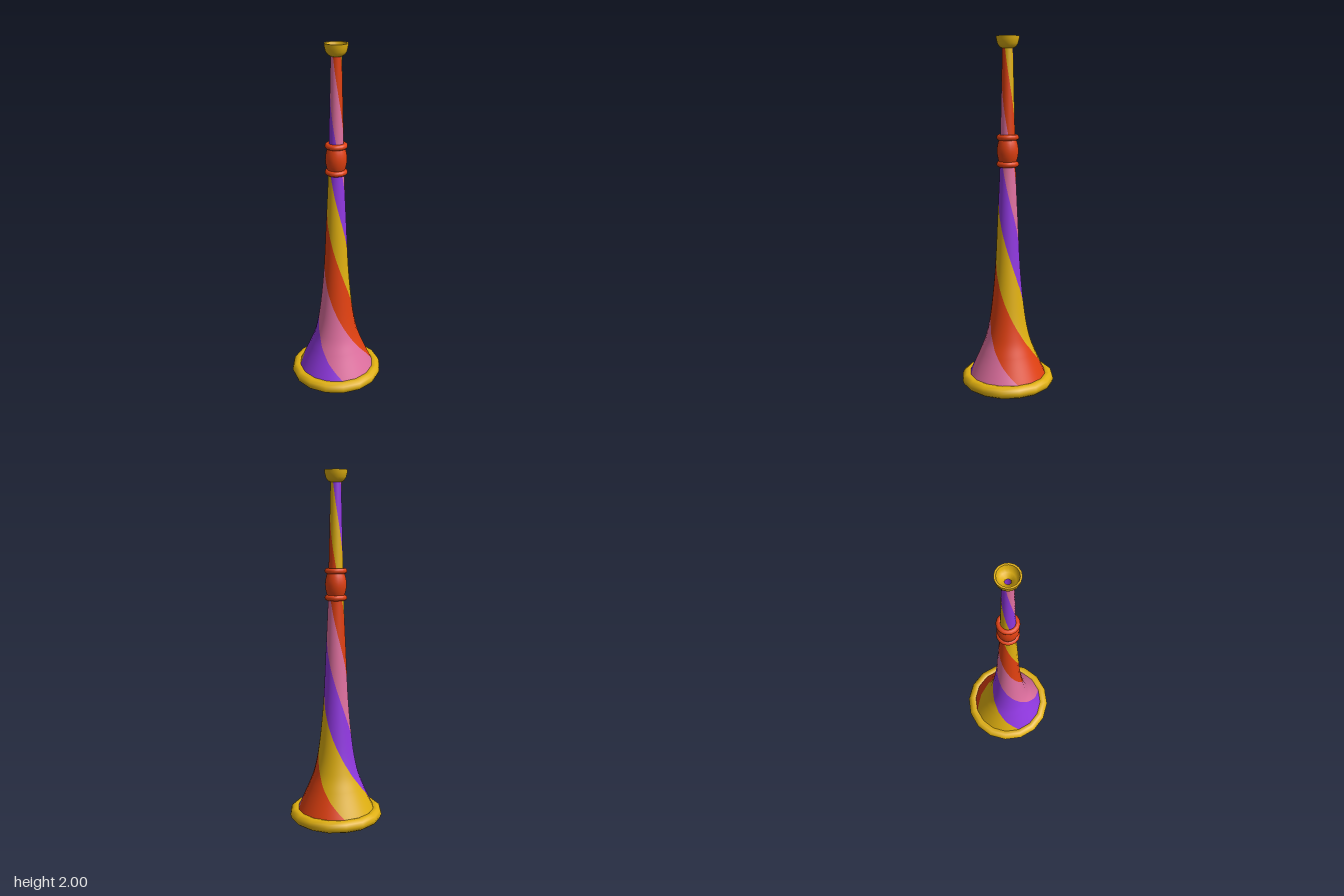
import * as THREE from 'three';

const SIDES = 16;
const PITCH = 0.34; // height over which a stripe turns a quarter circle

const mat = (name, color) => {
  const m = new THREE.MeshStandardMaterial({ color });
  m.name = name;
  return m;
};
const V = (x, y) => new THREE.Vector2(x, y);

// Flaring horn outline: radius, height
const outline = new THREE.SplineCurve([
  V(0.236, 0.035), V(0.22, 0.07), V(0.162, 0.2), V(0.126, 0.3), V(0.098, 0.45), V(0.073, 0.7),
  V(0.058, 1.0), V(0.045, 1.28), V(0.041, 1.47), V(0.03, 1.945),
]);

// Quarter-turn stripe that winds around the horn, following its sixteen flat sides
function stripeGeometry(start, twist, inset, inside) {
  const rows = 108, cols = 16, step = (Math.PI * 2) / SIDES;
  const pos = [], nor = [], idx = [];
  const sign = inside ? -1 : 1;
  for (let j = 0; j <= rows; j++) {
    const p = outline.getPoint(j / rows);
    const t = outline.getTangent(j / rows);
    const turn = start - twist * ((p.y - 0.07) / PITCH) * (Math.PI / 2);
    for (let i = 0; i <= cols; i++) {
      const a = turn + (i / cols) * (Math.PI / 2);
      const local = a - Math.floor(a / step) * step - step / 2;
      const r = (p.x - inset) * Math.cos(step / 2) / Math.cos(local);
      pos.push(Math.sin(a) * r, p.y, Math.cos(a) * r);
      nor.push(sign * Math.sin(a) * t.y, sign * -t.x, sign * Math.cos(a) * t.y);
      if (i < cols && j < rows) {
        const k = j * (cols + 1) + i, u = k + cols + 1;
        if (inside) idx.push(k, u + 1, k + 1, k, u, u + 1);
        else idx.push(k, k + 1, u + 1, k, u + 1, u);
      }
    }
  }
  const g = new THREE.BufferGeometry();
  g.setAttribute('position', new THREE.Float32BufferAttribute(pos, 3));
  g.setAttribute('normal', new THREE.Float32BufferAttribute(nor, 3));
  g.setIndex(idx);
  return g;
}

export function createModel() {
  const model = new THREE.Group();
  model.name = 'horn';
  const yellow = mat('yellow', 0xe0b010);
  const red = mat('red', 0xe04010);
  const pink = mat('pink', 0xe070a0);
  const purple = mat('purple', 0x9038e0);

  const add = (parent, name, geometry, material, y = 0) => {
    const mesh = new THREE.Mesh(geometry, material);
    mesh.name = name;
    mesh.position.y = y;
    parent.add(mesh);
    return mesh;
  };
  const ring = (parent, name, radius, tube, material, y) => {
    const g = new THREE.TorusGeometry(radius, tube, 10, SIDES);
    g.rotateX(Math.PI / 2);
    add(parent, name, g, material, y);
  };

  // Spiral striped tube, outside and inside
  const tube = new THREE.Group();
  tube.name = 'tube';
  model.add(tube);
  [pink, red, yellow, purple].forEach((m, k) => {
    const start = (k * Math.PI) / 2;
    add(tube, m.name + 'Stripe', stripeGeometry(start, 1, 0, false), m);
    add(tube, m.name + 'InnerStripe', stripeGeometry(start, -1, 0.006, true), m);
  });

  // Rolled rim of the bell
  ring(model, 'bellRim', 0.236, 0.035, yellow, 0.035);

  // Grip collar: barrel between two rings
  const collar = new THREE.Group();
  collar.name = 'collar';
  model.add(collar);
  const barrel = new THREE.SplineCurve([
    V(0.044, 1.3), V(0.056, 1.335), V(0.061, 1.375), V(0.056, 1.415), V(0.044, 1.45),
  ]);
  add(collar, 'barrel', new THREE.LatheGeometry(barrel.getPoints(10), SIDES), red);
  for (const y of [1.3, 1.45]) ring(collar, 'collarRing', 0.048, 0.016, red, y);

  // Cup mouthpiece with an open throat
  const cup = [
    V(0.017, 1.932), V(0.034, 1.934), V(0.047, 1.943), V(0.057, 1.959), V(0.063, 1.982), V(0.065, 2),
    V(0.065, 2), V(0.055, 2), V(0.055, 2),
    V(0.05, 1.978), V(0.038, 1.96), V(0.017, 1.948), V(0.017, 1.932),
  ];
  add(model, 'mouthpiece', new THREE.LatheGeometry(cup, SIDES), yellow).material.side = THREE.DoubleSide;

  return model;
}
